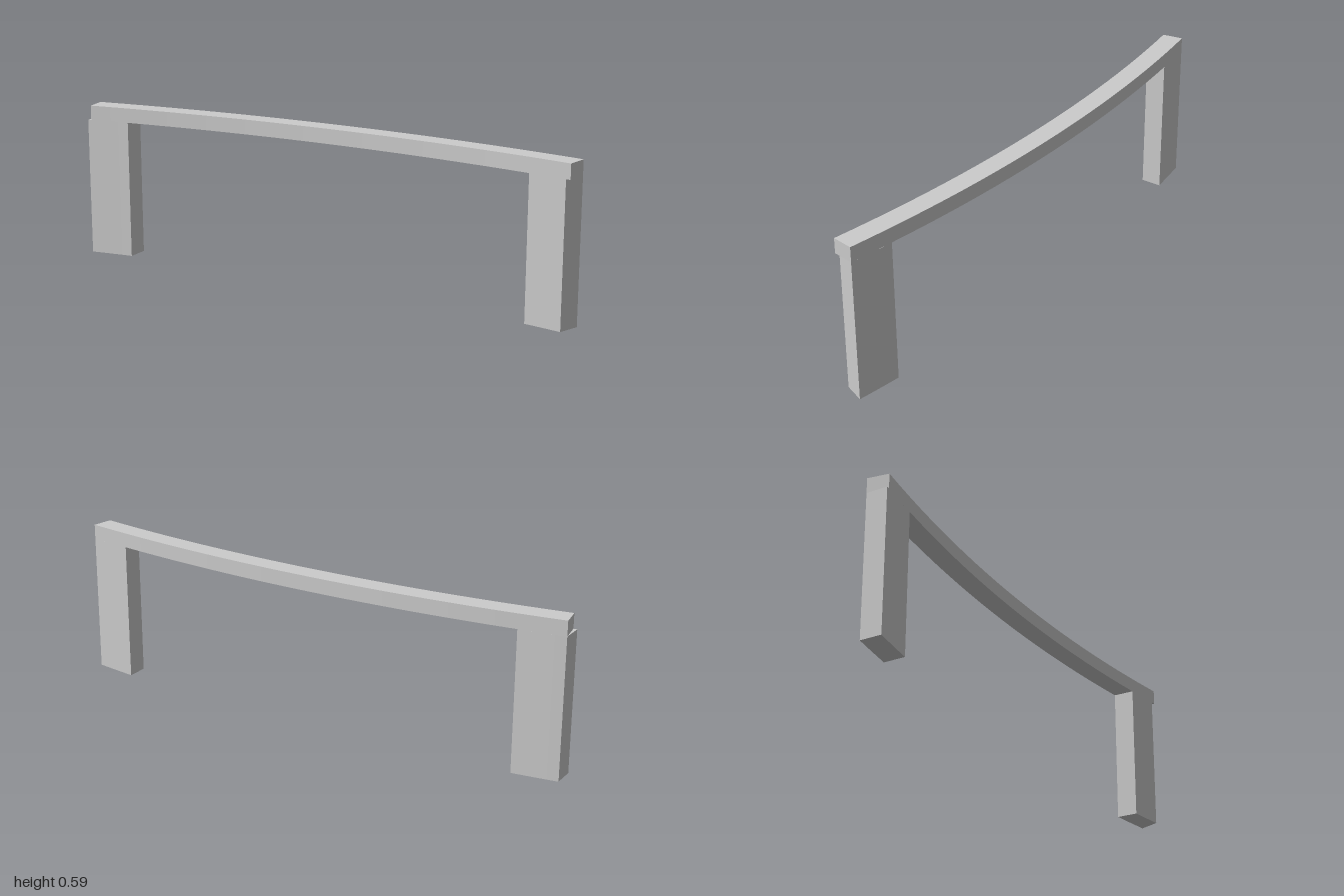
import * as THREE from 'three';

const H = 0.588, LEG_H = 0.532;
const R_BACK = 6.29, R_FRONT = 6.21, CZ = 6.211; // shared centre of both arcs
const zAt = (r, x) => CZ - Math.sqrt(r * r - x * x);

// Plan outline of [x, z] points, extruded upwards from y0 to y1
function slab(name, points, y0, y1, material) {
  const shape = new THREE.Shape(points.map(([x, z]) => new THREE.Vector2(x, -z)));
  const geometry = new THREE.ExtrudeGeometry(shape, { depth: y1 - y0, bevelEnabled: false });
  geometry.rotateX(-Math.PI / 2).translate(0, y0, 0);
  const mesh = new THREE.Mesh(geometry, material);
  mesh.name = name;
  return mesh;
}

// Points along an arc between two x positions
function arc(r, x0, x1, n) {
  return Array.from({ length: n + 1 }, (_, i) => {
    const x = x0 + ((x1 - x0) * i) / n;
    return [x, zAt(r, x)];
  });
}

export function createModel() {
  const group = new THREE.Group();
  group.name = 'curvedFrame';
  const material = new THREE.MeshStandardMaterial({ color: 0xcccccc, flatShading: true });

  // Bowed top beam with radial ends
  const beam = [...arc(R_FRONT, -0.987, 0.987, 24), ...arc(R_BACK, 1, -1, 24)];
  group.add(slab('topBeam', beam, LEG_H, H, material));

  // Legs follow the bow; the left one has a slanted outer end
  const leftLeg = [...arc(R_FRONT, 0.83, 0.97, 4), ...arc(R_BACK, 1, 0.83, 4)];
  const rightLeg = [...arc(R_FRONT, -1, -0.83, 4), ...arc(R_BACK, -0.83, -1, 4)];
  group.add(slab('leftLeg', leftLeg, 0, LEG_H, material));
  group.add(slab('rightLeg', rightLeg, 0, LEG_H, material));

  return group;
}
